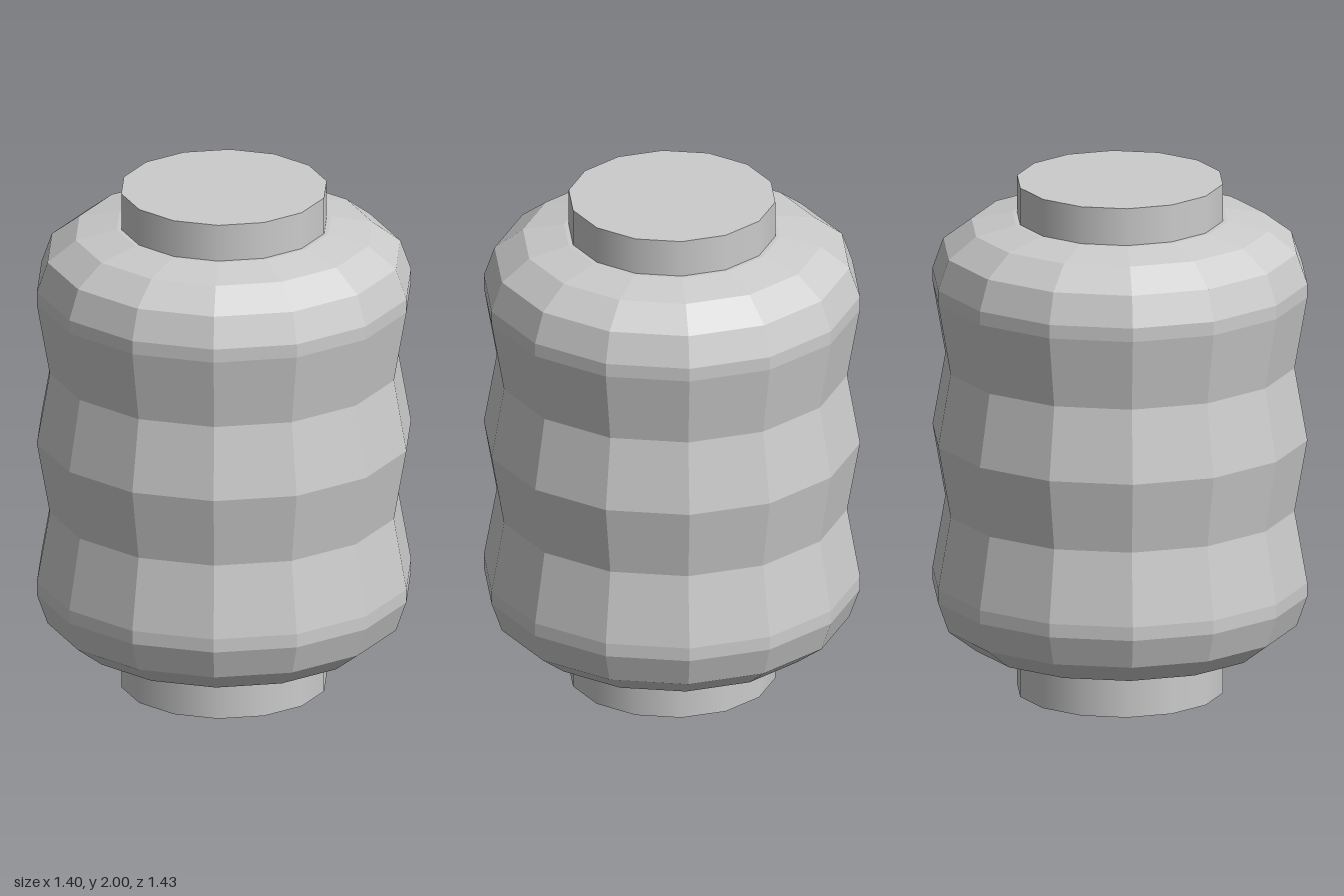
import * as THREE from 'three';

const SIDES = 14;

export function createModel() {
  const group = new THREE.Group();
  const facetMat = new THREE.MeshStandardMaterial({ color: 0xcccccc, flatShading: true });
  const smoothMat = new THREE.MeshStandardMaterial({ color: 0xcccccc });

  // Ribbed lantern body: lower half of the profile, mirrored about mid height
  const mid = 1.009;
  const lower = [
    [0, 0.163], [0.41, 0.163], [0.567, 0.195], [0.675, 0.278],
    [0.716, 0.395], [0.716, 0.448], [0.667, 0.728],
  ];
  const upper = lower.map(([r, y]) => [r, 2 * mid - y]).reverse();
  const profile = [...lower, [0.716, mid], ...upper].map(([r, y]) => new THREE.Vector2(r, y));
  const body = new THREE.Mesh(new THREE.LatheGeometry(profile, SIDES), facetMat);
  body.name = 'lanternBody';
  group.add(body);

  // End collars
  const addCollar = (name, y0, y1) => {
    const geometry = new THREE.CylinderGeometry(0.393, 0.393, y1 - y0, SIDES);
    const collar = new THREE.Mesh(geometry, smoothMat);
    collar.position.y = (y0 + y1) / 2;
    collar.name = name;
    group.add(collar);
  };
  addCollar('bottomCollar', 0, 0.18);
  addCollar('topCollar', 1.84, 2);

  return group;
}
